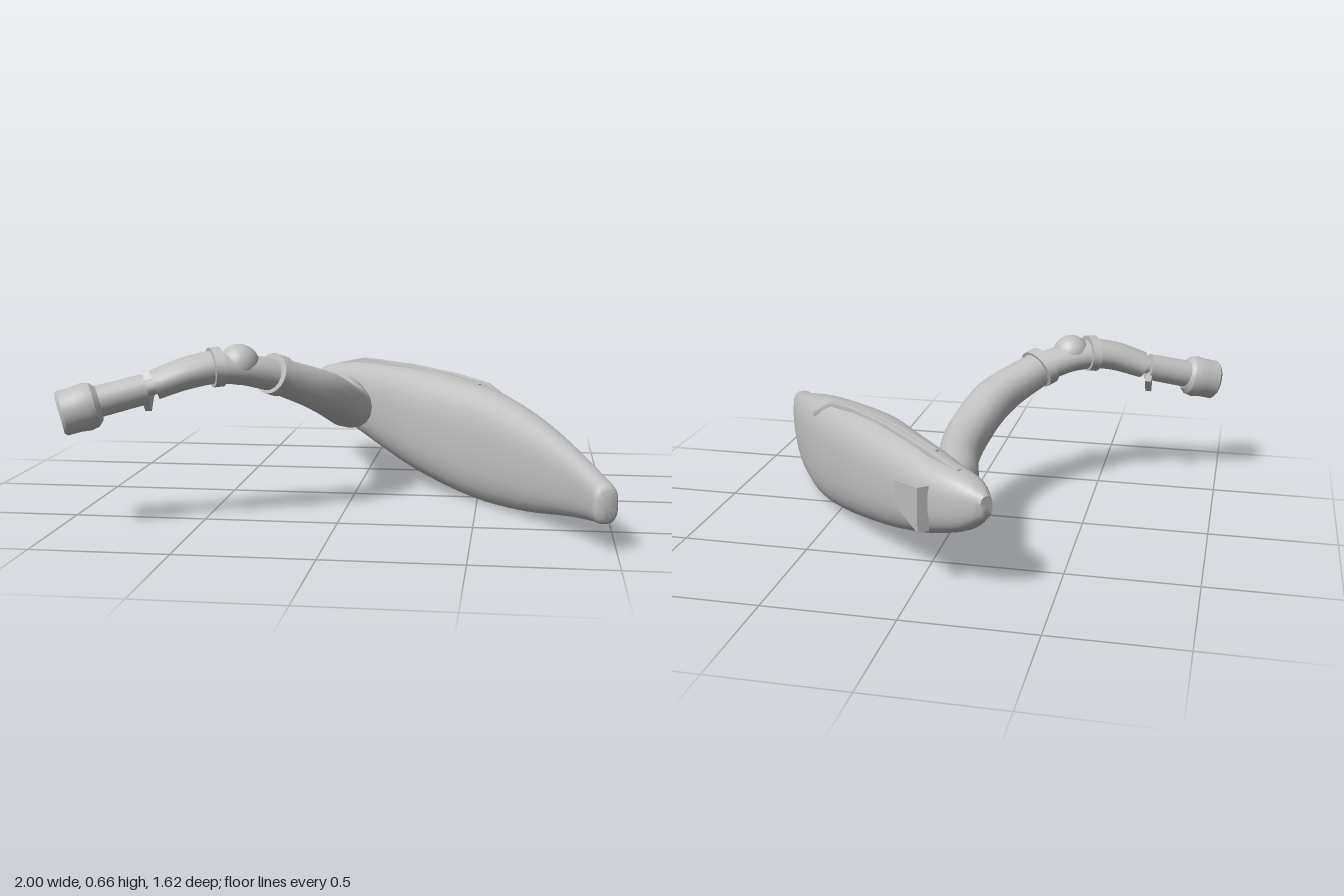
import * as THREE from 'three';
import { toCreasedNormals } from 'three/addons/utils/BufferGeometryUtils.js';

const V = (x, y, z) => new THREE.Vector3(x, y, z);
const UP = V(0, 1, 0);

// Skin a closed surface over elliptical sections {c, side, up}; power < 1 squares the section off
function loft(sections, sides, power = 1, crease = 0.6) {
  const pos = [], index = [];
  const bend = (v) => Math.sign(v) * Math.pow(Math.abs(v), power);
  for (const s of sections) {
    for (let j = 0; j < sides; j++) {
      const a = (j / sides) * Math.PI * 2;
      const p = s.c.clone().addScaledVector(s.side, bend(Math.cos(a))).addScaledVector(s.up, bend(Math.sin(a)));
      pos.push(p.x, p.y, p.z);
    }
  }
  const last = sections.length - 1, n = sections.length * sides;
  for (const s of [sections[0], sections[last]]) pos.push(s.c.x, s.c.y, s.c.z);
  for (let j = 0; j < sides; j++) {
    const k = (j + 1) % sides;
    for (let i = 0; i < last; i++) {
      const a = i * sides + j, b = i * sides + k;
      index.push(a, a + sides, b, b, a + sides, b + sides);
    }
    index.push(n, j, k, n + 1, last * sides + k, last * sides + j);
  }
  const g = new THREE.BufferGeometry();
  g.setAttribute('position', new THREE.Float32BufferAttribute(pos, 3));
  g.setIndex(index);
  return toCreasedNormals(g, crease);
}

// Sections along a path of [x, y, z, halfWidth, halfHeight]
function along(rows, steps) {
  const curve = new THREE.CatmullRomCurve3(rows.map((r) => V(r[0], r[1], r[2])));
  const out = [];
  for (let i = 0; i <= steps; i++) {
    const t = i / steps, f = t * (rows.length - 1);
    const k = Math.min(Math.floor(f), rows.length - 2), u = f - k;
    const mix = (q) => rows[k][q] * (1 - u) + rows[k + 1][q] * u;
    const dir = curve.getTangent(t);
    const side = dir.clone().cross(UP).normalize();
    const up = side.clone().cross(dir).normalize();
    out.push({ c: curve.getPoint(t), side: side.multiplyScalar(mix(3)), up: up.multiplyScalar(mix(4)) });
  }
  return out;
}

// Smoothly subdivide a list of sections
function refine(sections, steps) {
  const [c, side, up] = ['c', 'side', 'up'].map(
    (key) => new THREE.CatmullRomCurve3(sections.map((s) => s[key]), false, 'catmullrom', 0.5));
  return Array.from({ length: steps + 1 }, (_, i) => ({
    c: c.getPoint(i / steps), side: side.getPoint(i / steps), up: up.getPoint(i / steps),
  }));
}

export function createModel() {
  const group = new THREE.Group();
  const grey = new THREE.MeshStandardMaterial({ color: 0xc0c0c0 });
  grey.name = 'plain grey';

  const add = (name, geometry) => {
    const m = new THREE.Mesh(geometry, grey);
    m.name = name;
    group.add(m);
    return m;
  };
  // Stand a y-axis geometry at a point, pointing along dir
  const aim = (mesh, at, dir) => {
    mesh.position.copy(at);
    mesh.quaternion.setFromUnitVectors(UP, dir);
  };

  // Curved blade: inner x, z, outer x, z, top, bottom
  const blade = [
    [-0.285, -0.775, -0.25, -0.81, 0.40, 0.32],
    [-0.25, -0.69, -0.155, -0.795, 0.44, 0.25],
    [-0.18, -0.61, -0.02, -0.73, 0.46, 0.2],
    [-0.08, -0.49, 0.09, -0.64, 0.475, 0.155],
    [0.03, -0.35, 0.21, -0.52, 0.48, 0.11],
    [0.17, -0.165, 0.37, -0.35, 0.48, 0.06],
    [0.33, 0, 0.51, -0.18, 0.465, 0.02],
    [0.47, 0.135, 0.65, 0, 0.44, 0.002],
    [0.645, 0.345, 0.79, 0.24, 0.38, 0.02],
    [0.805, 0.57, 0.905, 0.50, 0.305, 0.065],
    [0.89, 0.735, 0.975, 0.69, 0.255, 0.093],
    [0.915, 0.795, 1.0, 0.765, 0.235, 0.1],
    [0.935, 0.805, 0.99, 0.785, 0.21, 0.12],
  ].map(([ix, iz, ox, oz, top, bottom]) => ({
    c: V((ix + ox) / 2, (top + bottom) / 2, (iz + oz) / 2),
    side: V((ix - ox) / 2, 0, (iz - oz) / 2),
    up: V(0, (top - bottom) / 2, 0),
  }));
  add('blade', loft(refine(blade, 36), 28, 0.75, 0.9));

  // Raised trim on the top edge of the blade, with sharp bends
  add('topTrim', loft(along([
    [-0.15, 0.442, -0.70, 0.014, 0.014], [-0.03, 0.474, -0.615, 0.016, 0.014],
    [0.2, 0.479, -0.37, 0.016, 0.014], [0.4, 0.468, -0.165, 0.016, 0.014],
    [0.53, 0.448, -0.04, 0.016, 0.014], [0.625, 0.39, -0.005, 0.01, 0.01],
  ], 5), 8, 0.5));
  add('innerTrim', loft(along([
    [-0.04, 0.467, -0.58, 0.008, 0.012], [0.23, 0.475, -0.3, 0.008, 0.012], [0.5, 0.447, -0.03, 0.008, 0.012],
  ], 8), 8, 0.5));

  // Panel let into the outer face near the upper tip, its far corner standing free
  const panel = new THREE.Shape([
    new THREE.Vector2(0, 0.27), new THREE.Vector2(0.195, 0.23),
    new THREE.Vector2(0.195, 0.40), new THREE.Vector2(0, 0.365),
  ]);
  const plate = add('outerPanel',
    new THREE.ExtrudeGeometry(panel, { depth: 0.045, bevelEnabled: false }).translate(0, 0, -0.045));
  plate.position.set(0.11, 0, -0.62);
  plate.rotation.y = Math.atan2(0.15, -0.125);

  // Main arm sweeping from the blade up to the joint
  add('mainArm', loft(along([
    [-0.13, 0.34, -0.64, 0.05, 0.08], [-0.09, 0.33, -0.45, 0.075, 0.085],
    [-0.035, 0.33, -0.2, 0.08, 0.085], [-0.035, 0.365, 0, 0.088, 0.085],
    [-0.10, 0.45, 0.2, 0.088, 0.082], [-0.25, 0.535, 0.38, 0.08, 0.068],
  ], 24), 16, 0.9));

  // Joint: link, ball and two flattened collars
  add('jointLink', loft(along([
    [-0.24, 0.53, 0.37, 0.078, 0.062], [-0.36, 0.565, 0.455, 0.08, 0.058], [-0.46, 0.577, 0.51, 0.08, 0.06],
  ], 8), 16));
  add('jointBall', new THREE.SphereGeometry(0.076, 24, 16)).position.set(-0.37, 0.585, 0.467);
  add('armCollar', loft(along([
    [-0.237, 0.53, 0.365, 0.105, 0.078], [-0.267, 0.544, 0.393, 0.105, 0.078],
  ], 1), 28));
  add('forearmCollar', loft(along([
    [-0.432, 0.58, 0.496, 0.103, 0.073], [-0.466, 0.577, 0.512, 0.103, 0.073],
  ], 1), 28));

  // Forearm, thin wrist pin and handle
  add('forearm', loft(along([
    [-0.44, 0.583, 0.5, 0.084, 0.062], [-0.55, 0.56, 0.55, 0.084, 0.06], [-0.66, 0.52, 0.588, 0.084, 0.055],
  ], 8), 16));
  const axis = V(-0.2, -0.05, 0.085).normalize();
  const wrist = V(-0.675, 0.51, 0.595);
  aim(add('wristPin', new THREE.CylinderGeometry(0.03, 0.03, 0.08, 16)), wrist, axis);
  aim(add('handle', new THREE.CylinderGeometry(0.058, 0.056, 0.19, 20)),
    wrist.clone().addScaledVector(axis, 0.11), axis);

  // Hollow end cap with crossed bars
  const capProfile = [[0, 0], [0.062, 0], [0.082, 0.02], [0.088, 0.05], [0.083, 0.085], [0.083, 0.135],
    [0.073, 0.145], [0.058, 0.145], [0.055, 0.11], [0, 0.11]].map(([r, y]) => new THREE.Vector2(r, y));
  const capAt = V(-0.84, 0.462, 0.675);
  aim(add('endCap', toCreasedNormals(new THREE.LatheGeometry(capProfile, 28), 0.5)), capAt, axis);
  for (let i = 0; i < 2; i++) {
    const bar = new THREE.BoxGeometry(0.11, 0.03, 0.016).rotateY((i * Math.PI) / 2 + 0.3);
    aim(add('capBar', bar), capAt.clone().addScaledVector(axis, 0.12), axis);
  }

  // Small triangular fin at the wrist
  const finShape = new THREE.Shape([
    new THREE.Vector2(-0.5, 0.47), new THREE.Vector2(-0.54, 0.415), new THREE.Vector2(-0.6, 0.49),
  ]);
  const fin = add('wristFin', new THREE.ExtrudeGeometry(finShape, { depth: 0.025, bevelEnabled: false }));
  fin.rotation.y = Math.PI / 2;
  fin.position.x = -0.71;

  return group;
}
